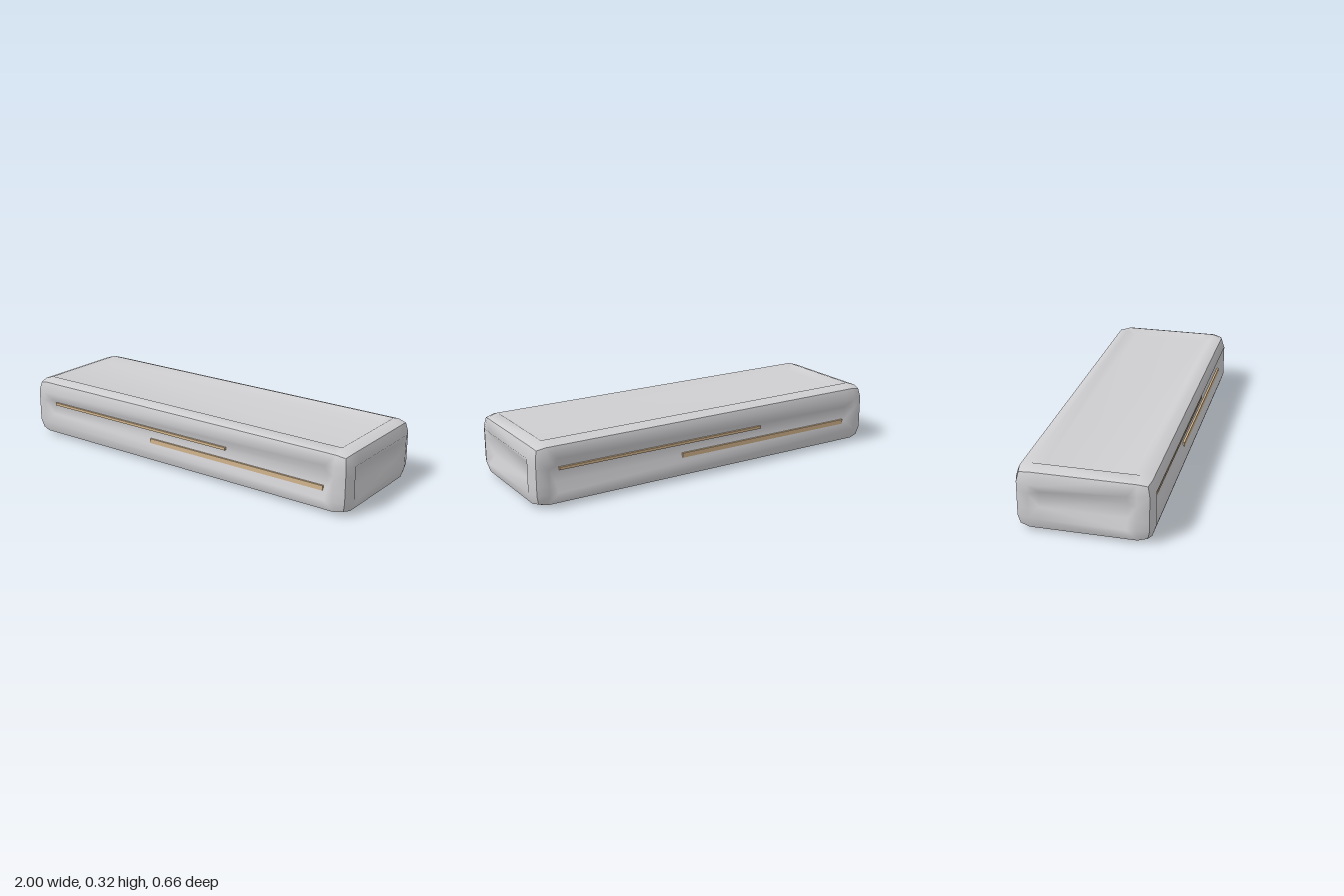
import * as THREE from 'three';

// half extents of the bar along x, y, z
const H = [1, 0.161, 0.33];
const RIM = 0.075, FLOOR = 0.122, DEPTH = 0.03, EDGE = 0.019, CORNER = 0.029;

// One face: bevelled border, raised rim and a sunken panel, on a 6 x 6 grid
function panelGeometry(axis, sign) {
  const u = (axis + 1) % 3, v = (axis + 2) % 3;
  const pos = [], idx = [];
  const inset = [0, RIM, FLOOR, FLOOR, RIM, 0];
  const at = (a, i, drop) => (i < 3 ? -1 : 1) * (H[a] - (inset[i] || drop));
  const outer = (i) => i === 0 || i === 5;
  const inner = (i) => i === 2 || i === 3;
  for (let j = 0; j < 6; j++) {
    for (let i = 0; i < 6; i++) {
      const n = outer(i) + outer(j);
      const drop = n === 2 ? CORNER : n === 1 ? EDGE : 0;
      const sunk = inner(i) && inner(j) ? DEPTH : drop;
      const p = [0, 0, 0];
      p[axis] = sign * (H[axis] - sunk);
      p[u] = at(u, i, drop);
      p[v] = at(v, j, drop);
      pos.push(p[0], p[1] + H[1], p[2]);
    }
  }
  const tri = (a, b, c) => (sign > 0 ? idx.push(a, b, c) : idx.push(a, c, b));
  for (let j = 0; j < 5; j++) {
    for (let i = 0; i < 5; i++) {
      const a = j * 6 + i, b = a + 1, c = a + 7, d = a + 6;
      // diagonals run towards the panel centre so corners are mitred
      if ((i < 2) === (j < 2)) { tri(a, b, c); tri(a, c, d); }
      else { tri(a, b, d); tri(b, c, d); }
    }
  }
  const g = new THREE.BufferGeometry();
  g.setAttribute('position', new THREE.Float32BufferAttribute(pos, 3));
  g.setIndex(idx);
  g.computeVertexNormals(); // smooth within the face, sharp between faces
  return g;
}

export function createModel() {
  const metal = new THREE.MeshStandardMaterial({ color: 0xcfcfd2 });
  metal.name = 'light grey';
  const tan = new THREE.MeshStandardMaterial({ color: 0xd2b48c });
  tan.name = 'tan';

  const model = new THREE.Group();
  model.name = 'bar';

  // Body faces
  const body = new THREE.Group();
  body.name = 'body';
  const names = [['leftEnd', 'rightEnd'], ['top', 'bottom'], ['front', 'back']];
  names.forEach((pair, axis) => pair.forEach((name, k) => {
    const face = new THREE.Mesh(panelGeometry(axis, k ? -1 : 1), metal);
    face.name = name + 'Face';
    body.add(face);
  }));
  model.add(body);

  // Inlaid strips: x range, y range, front z
  const strips = [
    ['upperStrip', -0.86, 0.3, 0.18, 0.194, 0.311],
    ['lowerStrip', -0.18, 0.86, 0.11, 0.134, 0.31],
  ];
  for (const side of ['front', 'back']) {
    const group = new THREE.Group();
    group.name = side + 'Strips';
    for (const [name, x0, x1, y0, y1, z] of strips) {
      const strip = new THREE.Mesh(new THREE.BoxGeometry(x1 - x0, y1 - y0, 0.02), tan);
      strip.position.set((x0 + x1) / 2, (y0 + y1) / 2, z - 0.01);
      strip.name = name;
      group.add(strip);
    }
    if (side === 'back') group.rotation.y = Math.PI;
    model.add(group);
  }
  return model;
}
